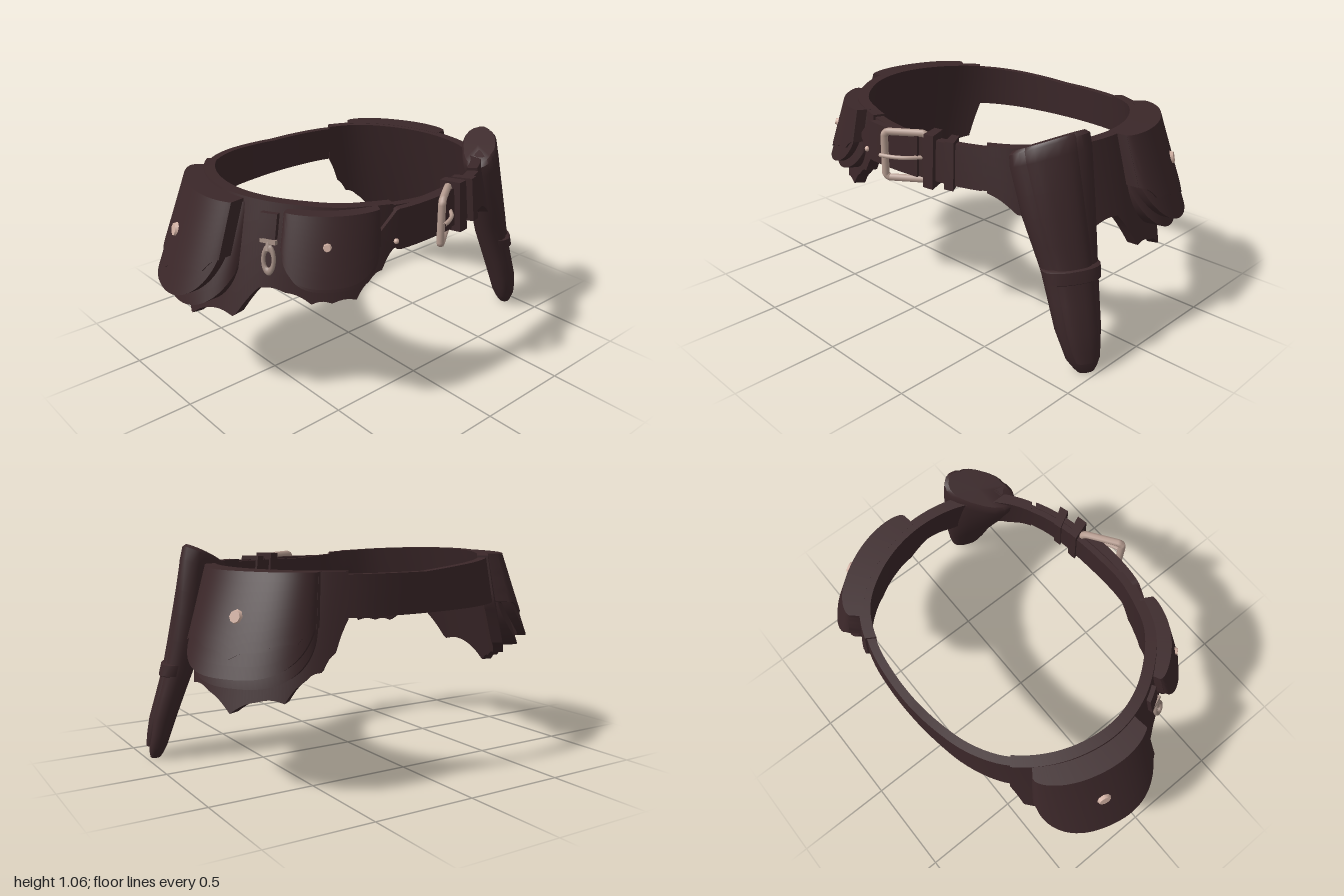
import * as THREE from 'three';
import { toCreasedNormals } from 'three/addons/utils/BufferGeometryUtils.js';

const mat = (name, color) => {
  const m = new THREE.MeshStandardMaterial({ color });
  m.name = name;
  return m;
};

// inner radius of the belt every 15 degrees, from +z towards +x
const RADII = [.655, .635, .605, .58, .54, .515, .50, .505, .535, .58, .635, .67,
  .69, .705, .715, .715, .675, .635, .615, .615, .635, .655, .66, .66];
const rad = THREE.MathUtils.degToRad;
function radius(deg) {
  const f = (((deg % 360) + 360) % 360) / 15, i = Math.floor(f), t = f - i;
  const [a, b, c, d] = [-1, 0, 1, 2].map(k => RADII[(i + k + 24) % 24]);
  return b + .5 * t * (c - a + t * (2 * a - 5 * b + 4 * c - d + t * (3 * (b - c) + d - a)));
}
const flare = deg => .04 + .24 * Math.cos(rad(deg)) ** 2;
// point on the flared hip surface, d outward from the inside of the belt
function hip(deg, y, d) {
  const r = radius(deg) + flare(deg) * (1 - y) + d;
  return [r * Math.sin(rad(deg)), y, r * Math.cos(rad(deg))];
}
// piecewise value with an optional arch between the points
function along(list, x, arch = 0) {
  let i = 0;
  while (i < list.length - 2 && x > list[i + 1][0]) i++;
  const [x0, y0] = list[i], [x1, y1] = list[i + 1];
  const t = THREE.MathUtils.clamp((x - x0) / (x1 - x0), 0, 1);
  return y0 + (y1 - y0) * t + arch * Math.sin(Math.PI * t);
}

// joins equal rings of points into one closed skin
function skin(rings, caps, crease = .6) {
  const n = rings[0].length, index = [];
  for (let i = 0; i < rings.length - 1; i++) for (let k = 0; k < n; k++) {
    const a = i * n + k, b = i * n + (k + 1) % n;
    index.push(a, b, b + n, a, b + n, a + n);
  }
  if (caps) {
    const e = (rings.length - 1) * n;
    for (let j = 0; j < n / 2 - 1; j++) {
      const o = j, p = j + 1, q = n - 1 - j, r = n - 2 - j;
      index.push(o, q, r, o, r, p, e + o, e + r, e + q, e + o, e + p, e + r);
    }
  }
  const g = new THREE.BufferGeometry();
  g.setAttribute('position', new THREE.Float32BufferAttribute(rings.flat(2), 3));
  g.setIndex(index);
  return toCreasedNormals(g, crease);
}

// curved slab on the hip surface between two angles
function slab(t0, t1, top, bot, inner, outer, { cols = 0, rows = 5, ease = false } = {}) {
  const fn = v => (typeof v === 'function' ? v : () => v);
  [top, bot, inner, outer] = [top, bot, inner, outer].map(fn);
  cols = cols || Math.max(4, Math.ceil((t1 - t0) / 1.5));
  const rings = [];
  for (let i = 0; i <= cols; i++) {
    let a = 2 * i / cols - 1;
    if (ease) a = Math.sin(a * Math.PI / 2);
    const deg = (t0 + t1) / 2 + a * (t1 - t0) / 2, front = [], back = [];
    for (let j = 0; j <= rows; j++) {
      const y = THREE.MathUtils.lerp(top(deg, a), bot(deg, a), j / rows);
      front.push(hip(deg, y, outer(deg, y, a)));
      back.unshift(hip(deg, y, inner(deg, y, a)));
    }
    rings.push([...front, ...back]);
  }
  return skin(rings, true);
}

export function createModel() {
  const model = new THREE.Group();
  const leather = mat('dark brown leather', 0x3b2729);
  const brass = mat('pale brass', 0xd2b1a3);
  const steel = mat('buckle metal', 0xb89e92);
  const dull = mat('dull clip metal', 0x9c877d);
  const add = (name, geo, m = leather, parent = model) => {
    const mesh = new THREE.Mesh(geo, m);
    mesh.name = name;
    parent.add(mesh);
    return mesh;
  };
  // turns an object to face outward from the hip surface
  const place = (o, deg, y, d) => {
    o.position.set(...hip(deg, y, d));
    o.rotation.set(-Math.atan(flare(deg)), rad(deg), 0, 'YXZ');
    return o;
  };

  // belt strap and the two hanging panels with scalloped hems
  const rim = deg => .96 + .05 * Math.max(0, Math.cos(rad(deg)));
  add('belt', slab(0, 360, deg => rim(deg) - .01, .765, 0, .04, { cols: 120, rows: 3 }));
  const frontHem = [[-43, .76], [-38, .55], [-26, .47], [-16, .43], [-9.5, .385], [1, .48], [10.5, .475],
    [18, .63], [27, .62], [36, .57], [43, .57], [52, .57], [57, .64], [63, .68], [69, .77]];
  add('frontPanel', slab(-43, 69, rim, d => along(frontHem, d, .012), -.004, .05, { cols: 112 }));
  const backHem = [[136, .76], [146, .68], [157, .62], [170, .6], [180, .62], [187, .45], [195, .43],
    [204, .35], [212, .41], [220, .41], [225, .5], [230, .54], [234, .62], [238, .76]];
  add('backPanel', slab(136, 238, d => rim(d) + .004, d => along(backHem, d, .012), -.004, .05, { cols: 102 }));

  // pouch: rear body, bulging cover and a scalloped flap
  function pouch(name, t0, t1, top, bot, depth, studAt, studY, studR, shift = 1) {
    const g = new THREE.Group();
    g.name = name;
    model.add(g);
    const h = top - bot, mid = (t0 + t1) / 2, half = (t1 - t0) / 2;
    const cup = (lo, hh) => (deg, a) => lo + hh * (1 - Math.sqrt(Math.max(0, 1 - Math.abs(a) ** 3)));
    const bulge = (deg, y) => {
      const a = (deg - mid) / half, v = (top - y) / h;
      return .05 + depth * (.45 + .55 * Math.sqrt(Math.max(0, 1 - Math.abs(a) ** 2.5))) * (.62 + .42 * Math.min(1, v * 1.1));
    };
    const o = { cols: 40, rows: 8, ease: true };
    add('pouchBody', slab(t0 + .3, t1 + .5 * shift, top - .015, cup(bot, h * .5), .03, (d, y) => bulge(d, y) - depth * .4, o), leather, g);
    add('pouchCover', slab(t0, t1 - 2 * Math.max(0, shift), top - .005, cup(bot + h * .1, h * .55), (d, y) => bulge(d, y) - depth * .3, bulge, o), leather, g);
    const edge = [[-1, .48], [-.8, .6], [-.4, .66], [0, .74], [.4, .66], [.8, .6], [1, .48]];
    add('pouchFlap', slab(t0 - .2, t1 - 2 * Math.max(0, shift) + .2, top,
      (d, a) => top - h * along(edge, a, -.03), .03, (d, y) => bulge(d, y) + .008, o), leather, g);
    const stud = add('pouchStud', new THREE.CylinderGeometry(studR * .8, studR, .016, 8).rotateX(Math.PI / 2), brass, g);
    place(stud, studAt, studY, bulge(studAt, studY) + .012);
  }
  pouch('frontPouch', -35, 9.5, 1.0, .49, .155, -14, .8, .036);
  pouch('sidePouch', 26, 62, .985, .65, .1, 42, .86, .02, .5);
  pouch('backPouch', 187, 229, .965, .48, .145, 208, .78, .034, -.5);

  // belt end with a pointed tip, overlap and keepers
  const tip = (sign) => deg => .865 + sign * along([[62, .01], [70, .095], [100, .095]], deg);
  add('beltTip', slab(62, 104, tip(1), tip(-1), .03, .075));
  add('beltOverlap', slab(104, 134, .955, .77, .03, .06));
  place(add('beltRivet', new THREE.SphereGeometry(.013, 8, 6), brass), 69, .815, .078);
  for (const [a, b, lo, hi] of [[108.5, 113.5, .74, .985], [119, 123, .757, .972]]) {
    add('keeper', slab(a, b, hi, lo, -.012, .09));
  }

  // buckle: rounded frame and prong
  const buckle = new THREE.Group();
  buckle.name = 'buckle';
  buckle.position.set(.58, .86, -.08);
  buckle.rotation.y = rad(125);
  model.add(buckle);
  const w = .1, h = .11, c = .015;
  const frame = new THREE.CurvePath();
  const corners = [[-w, -h + c], [-w, h - c], [-w + c, h], [w - c, h], [w, h - c], [w, -h + c], [w - c, -h], [-w + c, -h]]
    .map(p => new THREE.Vector3(p[0], p[1], 0));
  corners.forEach((p, i) => frame.add(new THREE.LineCurve3(p, corners[(i + 1) % 8])));
  add('buckleFrame', new THREE.TubeGeometry(frame, 96, .018, 8, true), steel, buckle);
  const prong = new THREE.CatmullRomCurve3([[.09, 0, .01], [0, 0, .035], [-.07, 0, .03], [-.12, 0, .016]].map(p => new THREE.Vector3(...p)));
  add('buckleProng', new THREE.TubeGeometry(prong, 16, .01, 8), steel, buckle);

  // hanging clip between the pouches
  add('clipStrap', slab(16.5, 23, .965, .855, .04, .072));
  const clip = place(new THREE.Group(), 20.5, .845, .066);
  clip.name = 'clip';
  model.add(clip);
  add('clipBar', new THREE.BoxGeometry(.08, .02, .02), dull, clip);
  add('clipSwivel', new THREE.CylinderGeometry(.012, .018, .04, 8).translate(.004, -.02, 0), dull, clip);
  const ring = add('clipRing', new THREE.TorusGeometry(.027, .0095, 8, 20), dull, clip);
  ring.scale.set(1, 1.95, 1.1);
  ring.position.set(.012, -.08, .004);
  ring.rotation.z = .1;

  // sheath sections: height, centre x, centre z, half width, half depth, facing
  const spine = [[1, .275, -.66, .17, .09, 134], [.93, .277, -.675, .175, .095, 135], [.7, .283, -.735, .16, .09, 143],
    [.45, .285, -.81, .13, .078, 152], [.2, .31, -.89, .108, .066, 155], [.06, .312, -.928, .08, .05, 155],
    [0, .31, -.945, .045, .032, 155]];
  const at = y => [1, 2, 3, 4, 5].map(k => along(spine.map(s => [s[0], s[k]]).reverse(), y));
  function sheathSkin(ys, kw, kt, push = 0) {
    const rings = ys.map((y, i) => {
      const [cx, cz, w0, t0, deg] = at(y);
      const end = i === 0 || i === ys.length - 1 ? .9 : 1, n = 20, out = [];
      const s = Math.sin(rad(deg)), co = Math.cos(rad(deg));
      for (let k = 0; k < n; k++) {
        const q = (k + .5) / n * Math.PI * 2;
        const p = Math.sign(Math.cos(q)) * Math.abs(Math.cos(q)) ** .8 * w0 * kw * end;
        const d = Math.sign(Math.sin(q)) * Math.abs(Math.sin(q)) ** .8 * t0 * kt * end + push;
        const z = cz - p * s + d * co;
        out.push([cx + p * co + d * s, y - .45 * (z - cz) * Math.max(0, (y - .4) / .6), z]);
      }
      return out;
    });
    // close both ends to their centres
    const shut = r => {
      const m = [0, 1, 2].map(k => r.reduce((v, p) => v + p[k], 0) / r.length);
      return r.map(() => m);
    };
    return skin([shut(rings[0]), ...rings, shut(rings[rings.length - 1])], false, .7);
  }
  const sheath = new THREE.Group();
  sheath.name = 'sheath';
  model.add(sheath);
  const body = [1, .985, .93, .8, .7, .58, .45, .32, .2, .12, .06, .02, 0];
  const parts = [
    ['sheathBody', sheathSkin(body, 1, .9)],
    ['sheathFace', sheathSkin(body.slice(0, -2), .74, .75, .026)],
    ['sheathBand', sheathSkin([.475, .47, .42, .415], 1.03, .95, .02)],
  ];
  for (const [name, geo] of parts) {
    add(name, geo, leather, sheath);
  }
  return model;
}
